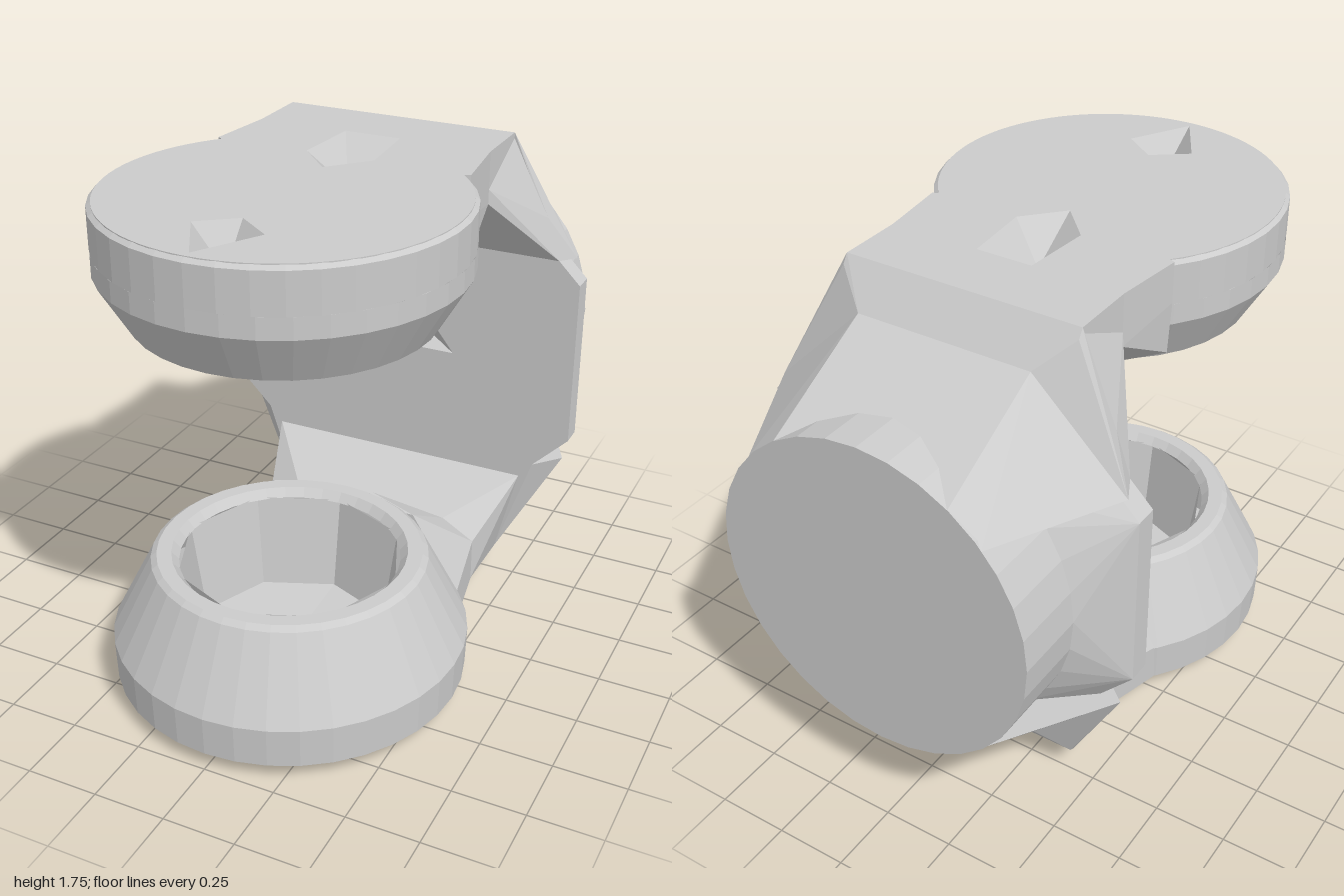
import * as THREE from 'three';
import { ConvexGeometry } from 'three/addons/geometries/ConvexGeometry.js';

export function createModel() {
  const model = new THREE.Group();
  const mat = new THREE.MeshStandardMaterial({ color: 0xcccccc, flatShading: true, side: THREE.DoubleSide });

  function add(name, geometry, x = 0, y = 0, z = 0) {
    const mesh = new THREE.Mesh(geometry, mat);
    mesh.name = name;
    mesh.position.set(x, y, z);
    model.add(mesh);
  }
  // Convex block from points given for one side and mirrored in x
  const hull = (pts) => new ConvexGeometry(
    pts.flatMap(([x, y, z]) => [new THREE.Vector3(x, y, z), new THREE.Vector3(-x, y, z)]));
  const lathe = (pts, sides, start = 0, length = Math.PI * 2) =>
    new THREE.LatheGeometry(pts.map(([r, y]) => new THREE.Vector2(r, y)), sides, start, length);
  const shape = (pts) => new THREE.Shape(pts.map(([x, y]) => new THREE.Vector2(x, y)));
  const slab = (s, depth) => new THREE.ExtrudeGeometry(s, { depth, bevelEnabled: false, curveSegments: 32 });
  function triangles(coords) {
    const g = new THREE.BufferGeometry();
    g.setAttribute('position', new THREE.Float32BufferAttribute(coords, 3));
    g.computeVertexNormals();
    return g;
  }
  // Sunken pit: a fan from its outline to a deeper apex
  const pit = (outline, apex) => triangles(
    outline.flatMap((p, i) => [...p, ...outline[(i + 1) % outline.length], ...apex]));
  const discZ = 0.39;

  // Lower disc with a faceted cup
  add('lowerDisc', lathe([[0, 0.04], [0.4, 0.03], [0.45, 0], [0.5, 0.01], [0.605, 0.06], [0.61, 0.2],
    [0.47, 0.475], [0.45, 0.49], [0.4, 0.49], [0.375, 0.46]], 36), 0, 0, discZ);
  add('lowerCup', lathe([[0.39, 0.465], [0.34, 0.13], [0, 0.1]], 8), 0, 0, discZ);

  // Upper disc with a faceted cup opening downward; its rim stops at the neck
  const a = Math.atan2(discZ, 0.44);
  add('upperDisc', lathe([[0.375, 1.39], [0.41, 1.36], [0.49, 1.36], [0.59, 1.53], [0.59, 1.6]], 36), 0, 0, discZ);
  add('upperRim', lathe([[0.59, 1.6], [0.59, 1.735], [0.572, 1.75]], 28, -Math.PI / 2 - a, Math.PI + 2 * a), 0, 0, discZ);
  add('upperCup', lathe([[0.39, 1.385], [0.34, 1.59], [0, 1.6]], 8), 0, 0, discZ);

  // Cover plate over the upper disc and neck, with two pits
  const cover = new THREE.Shape();
  cover.moveTo(0.42, 0.48);
  cover.lineTo(0.42, 0.25);
  cover.lineTo(0.45, 0);
  cover.absarc(0, -discZ, 0.575, a, Math.PI - a, true);
  cover.lineTo(-0.45, 0);
  cover.lineTo(-0.42, 0.25);
  cover.lineTo(-0.42, 0.48);
  cover.closePath();
  const pits = [
    { name: 'frontPit', outline: [[0, 0.64], [0.12, 0.73], [0, 0.94], [-0.12, 0.73]], apexZ: 0.75 },
    { name: 'rearPit', outline: [[-0.1, -0.25], [0.1, -0.25], [0.12, 0], [0, 0.13], [-0.12, 0]], apexZ: -0.06 },
  ];
  for (const p of pits) {
    cover.holes.push(shape(p.outline.map(([x, z]) => [x, -z])));
    add(p.name, pit(p.outline.map(([x, z]) => [x, 1.75, z]), [0, 1.625, p.apexZ]));
  }
  add('coverPlate', slab(cover, 0.14).rotateX(-Math.PI / 2), 0, 1.61, 0);

  // Necks joining the discs to the arms
  add('upperNeck', hull([[0.45, 1.61, 0], [0.44, 1.43, 0], [0.28, 1.36, -0.03], [0.1, 1.36, -0.1],
    [0.42, 1.57, -0.25], [0.42, 1.61, -0.25]]));
  add('lowerNeck', hull([[0.46, 0.2, 0], [0.46, 0.06, 0], [0.28, 0.01, -0.01], [0.1, 0.01, -0.09],
    [0.28, 0.47, -0.01], [0.1, 0.49, -0.06], [0.42, 0.1, -0.25], [0.42, 0.26, -0.25], [0.3, 0.33, -0.25]]));

  // Arms flaring out to the back plate
  add('upperArm', hull([[0.42, 1.57, -0.25], [0.42, 1.62, -0.25], [0.42, 1.73, -0.48],
    [0.6, 1.31, -0.5], [0.55, 1.46, -0.5]]));
  add('lowerArm', hull([[0.42, 0.1, -0.25], [0.42, 0.26, -0.25], [0.3, 0.33, -0.25],
    [0.42, 0.1, -0.5], [0.5, 0.43, -0.5]]));

  // Shoulders behind the arms, then fairings sloping down onto the hub
  add('upperShoulder', hull([[0.42, 1.75, -0.48], [0.42, 1.72, -0.5], [0.55, 1.46, -0.5],
    [0.6, 1.31, -0.5], [0.64, 1.3, -0.58], [0.31, 1.62, -0.58]]));
  add('upperFairing', hull([[0.64, 1.3, -0.58], [0.31, 1.62, -0.58], [0.1, 1.49, -0.82],
    [0.31, 1.397, -1], [0.42, 1.3, -1]]));
  add('lowerShoulder', hull([[0.42, 0.1, -0.5], [0.42, 0.11, -0.52], [0.5, 0.43, -0.5],
    [0.55, 0.49, -0.5], [0.64, 0.5, -0.58], [0.31, 0.19, -0.58]]));
  add('lowerFairing', hull([[0.64, 0.5, -0.58], [0.31, 0.19, -0.58], [0.31, 0.27, -0.67],
    [0.1, 0.365, -0.84], [0.31, 0.453, -1], [0.42, 0.55, -1]]));

  // Eight-sided back plate with a triangular pit
  const half = [[0.5, 0.43], [0.55, 0.49], [0.68, 0.62], [0.68, 1.23], [0.6, 1.31]];
  const plate = shape([...half, ...half.map(([x, y]) => [-x, y]).reverse()]);
  const tri = [[-0.22, 0.88], [0.22, 0.88], [0, 1.16]];
  plate.holes.push(shape(tri));
  add('backPlate', slab(plate, 0.08), 0, 0, -0.58);
  add('platePit', pit(tri.map(([x, y]) => [x, y, -0.5]), [0, 0.885, -0.7]));

  // Tapered housing from plate to hub, open at the front behind the pit
  const hubY = 0.925, hubR = 0.565;
  const ring = Array.from({ length: 17 }, (_, i) => {
    const t = -Math.PI / 2 + (i / 16) * Math.PI;
    return [hubR * Math.cos(t), hubY + hubR * Math.sin(t), -0.75];
  });
  const housing = hull([...half.map(([x, y]) => [x, y, -0.58]), ...ring]);
  const p = housing.attributes.position, kept = [];
  for (let i = 0; i < p.count; i += 3) {
    if (Math.min(p.getZ(i), p.getZ(i + 1), p.getZ(i + 2)) > -0.6) continue;
    for (let j = i; j < i + 3; j++) kept.push(p.getX(j), p.getY(j), p.getZ(j));
  }
  add('housing', triangles(kept));

  // Round hub at the back
  add('hub', new THREE.CylinderGeometry(hubR, hubR, 0.25, 32).rotateX(Math.PI / 2), 0, hubY, -0.875);

  return model;
}
